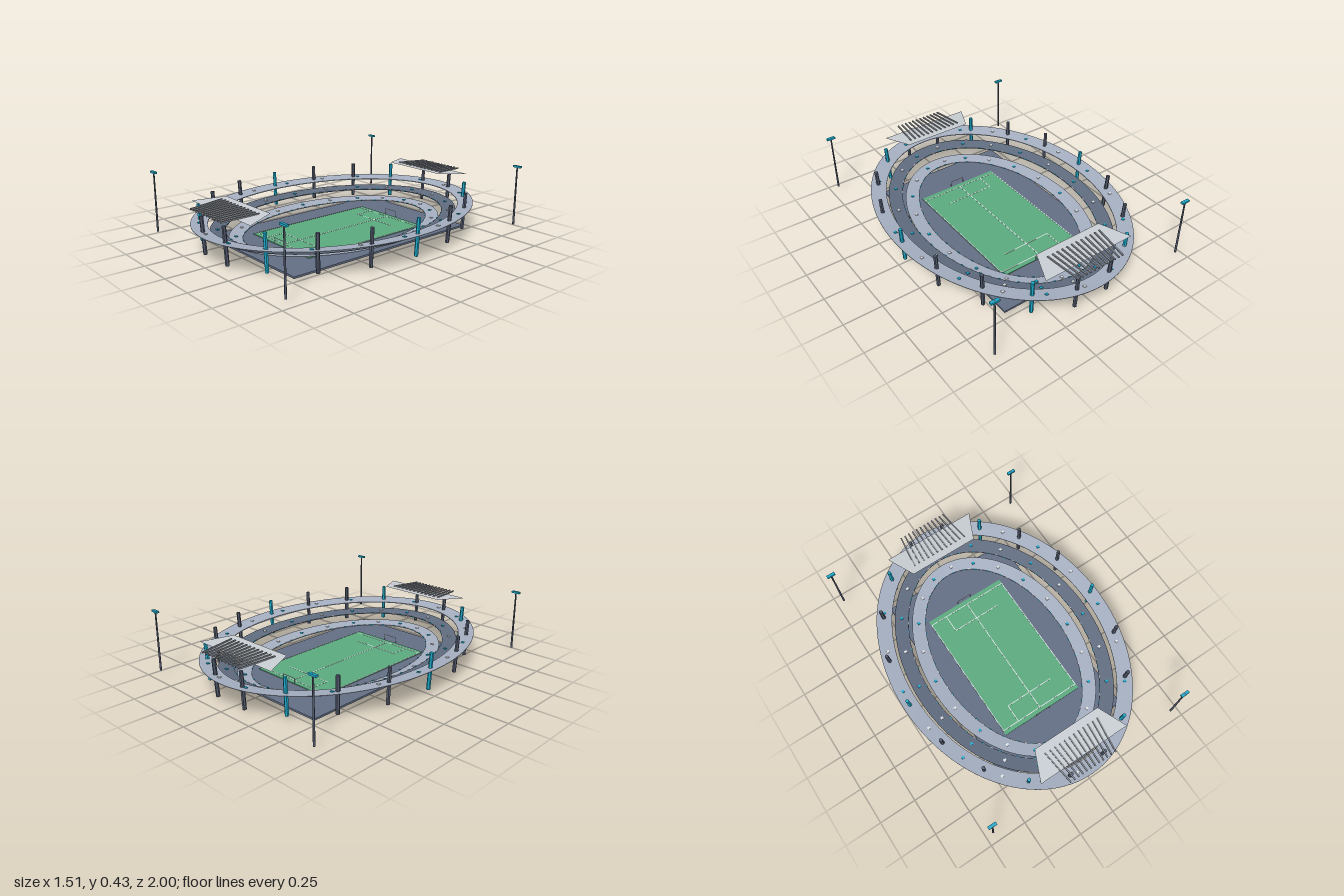
import * as THREE from 'three';

const flat = (name, color, extra = {}) => {
  const m = new THREE.MeshStandardMaterial({ color, ...extra });
  m.name = name;
  return m;
};

export function createModel() {
  const root = new THREE.Group();
  root.name = 'stadium';
  const mats = {
    concrete: flat('pale concrete', 0xa6b0c2),
    slate: flat('slate seating', 0x606d80),
    ground: flat('ground slate', 0x636f86),
    post: flat('dark post', 0x50586a),
    cyan: flat('cyan accent', 0x1cabcc),
    grass: flat('grass', 0x5cab7f),
    line: flat('white line', 0xf1f4f8),
    roof: flat('roof panel', 0xc9ced4, { side: THREE.DoubleSide }),
    beam: flat('roof beam', 0x8b9097),
  };

  const add = (name, geometry, material, parent = root) => {
    const mesh = new THREE.Mesh(geometry, material);
    mesh.name = name;
    parent.add(mesh);
    return mesh;
  };
  const box = (name, w, h, d, x, y, z, material, parent = root) => {
    const mesh = add(name, new THREE.BoxGeometry(w, h, d), material, parent);
    mesh.position.set(x, y, z);
    return mesh;
  };
  const group = (name) => {
    const g = new THREE.Group();
    g.name = name;
    root.add(g);
    return g;
  };

  // Elliptical ring swept from a raked section that thins towards its outer rim
  const ringGeometry = ({ inner, outer, y, rise }, segments = 96) => {
    const section = [
      [...inner, y], [...outer, y + rise],
      [...outer, y + rise - 0.003], [...inner, y - 0.005],
    ];
    const positions = [], index = [];
    section.forEach((p, s) => {
      const q = section[(s + 1) % 4];
      const start = positions.length / 3;
      for (let i = 0; i <= segments; i++) {
        const t = (i / segments) * Math.PI * 2;
        for (const [a, b, h] of [p, q]) positions.push(a * Math.cos(t), h, b * Math.sin(t));
        if (i < segments) {
          const k = start + i * 2;
          index.push(k, k + 2, k + 1, k + 1, k + 2, k + 3);
        }
      }
    });
    const g = new THREE.BufferGeometry();
    g.setAttribute('position', new THREE.Float32BufferAttribute(positions, 3));
    g.setIndex(index);
    g.computeVertexNormals();
    return g;
  };

  // Ground slab and pitch
  box('groundSlab', 0.92, 0.012, 1.42, 0, 0.006, 0, mats.ground);
  box('pitch', 0.58, 0.005, 0.95, 0, 0.0145, 0, mats.grass);

  // Pitch markings and goals
  const markings = group('pitchMarkings');
  const mark = (w, d, x, z) => box('marking', w, 0.001, d, x, 0.0175, z, mats.line, markings);
  mark(0.005, 0.89, 0, 0);
  for (const s of [-1, 1]) {
    mark(0.005, 0.89, s * 0.287, 0);
    mark(0.574, 0.005, 0, s * 0.443);
    mark(0.34, 0.005, 0, s * 0.32);
    mark(0.005, 0.123, -0.17, s * 0.382);
    const goal = group('goal');
    for (const x of [-0.05, 0.05]) box('goalPost', 0.003, 0.038, 0.003, x, 0.036, s * 0.48, mats.line, goal);
    box('crossbar', 0.103, 0.003, 0.003, 0, 0.055, s * 0.48, mats.line, goal);
  }

  // Three raked tiers with alternating cyan and white seat lights
  const tiers = [
    { name: 'lowerTier', inner: [0.435, 0.685], outer: [0.53, 0.77], y: 0.057, rise: 0.011, material: mats.concrete },
    { name: 'middleTier', inner: [0.55, 0.79], outer: [0.64, 0.885], y: 0.111, rise: 0.012, material: mats.slate },
    { name: 'upperTier', inner: [0.655, 0.895], outer: [0.755, 1.0], y: 0.165, rise: 0.012, material: mats.concrete },
  ];
  tiers.forEach((tier) => {
    add(tier.name, ringGeometry(tier), tier.material);
    const lights = group(tier.name + 'Lights');
    const a = (tier.inner[0] + tier.outer[0]) / 2, b = (tier.inner[1] + tier.outer[1]) / 2;
    for (let i = 0; i < 20; i++) {
      const t = ((i * 18 + 6) * Math.PI) / 180;
      box('seatLight', 0.018, 0.006, 0.016, a * Math.cos(t), tier.y + tier.rise / 2 + 0.002,
        b * Math.sin(t), i % 2 ? mats.line : mats.cyan, lights);
    }
  });

  // Dashed trim along the inner edges of the two lower tiers
  const trim = group('innerTrim');
  tiers.slice(0, 2).forEach(({ inner: [a, b], y }) => {
    for (let i = 0; i < 72; i++) {
      const t = (i / 72) * Math.PI * 2;
      const dash = box('trimDash', 0.005, 0.004, 0.018, a * Math.cos(t), y + 0.001, b * Math.sin(t),
        i % 2 ? mats.cyan : mats.line, trim);
      dash.rotation.y = Math.atan2(-a * Math.sin(t), b * Math.cos(t));
    }
  });

  // Outward-leaning six-sided posts around the upper tier
  const posts = group('perimeterPosts');
  const postGeometry = new THREE.CylinderGeometry(0.0125, 0.0125, 0.24, 6).toNonIndexed();
  postGeometry.computeVertexNormals();
  for (let i = 0; i < 18; i++) {
    const t = (i * Math.PI) / 9;
    const post = add('post', postGeometry, i % 3 ? mats.post : mats.cyan, posts);
    post.position.set(0.708 * Math.cos(t), 0.15, 0.945 * Math.sin(t));
    post.rotation.set(0, -t, -0.06, 'YXZ');
  }

  // Tilted roof panels with fanned beams at both ends
  for (const s of [-1, 1]) {
    const canopy = group(s > 0 ? 'frontCanopy' : 'backCanopy');
    const panel = new THREE.BufferGeometry();
    panel.setAttribute('position', new THREE.Float32BufferAttribute([
      -0.32, 0.310, 0.89, 0.32, 0.310, 0.89, 0.235, 0.322, 0.70, -0.235, 0.322, 0.70,
    ], 3));
    panel.setIndex([0, 1, 2, 0, 2, 3]);
    panel.computeVertexNormals();
    add('roofPanel', panel, mats.roof, canopy);
    for (let i = 0; i < 12; i++) {
      const u = (i / 11) * 2 - 1;
      const from = new THREE.Vector3(u * 0.195, 0.321, 0.75);
      const to = new THREE.Vector3(u * 0.165, 0.309, 0.982);
      const beam = box('roofBeam', 0.009, 0.009, from.distanceTo(to), 0, 0, 0, mats.beam, canopy);
      beam.position.copy(from).add(to).multiplyScalar(0.5);
      beam.lookAt(to);
    }
    if (s < 0) canopy.rotation.y = Math.PI;
  }

  // Corner floodlight masts
  for (const x of [-0.697, 0.697]) for (const z of [-0.94, 0.94]) {
    const mast = group('floodlight');
    mast.position.set(x, 0, z);
    add('mast', new THREE.CylinderGeometry(0.005, 0.007, 0.4, 8), mats.post, mast).position.y = 0.228;
    box('lampHead', 0.056, 0.012, 0.02, 0, 0.422, 0, mats.cyan, mast);
  }

  return root;
}
